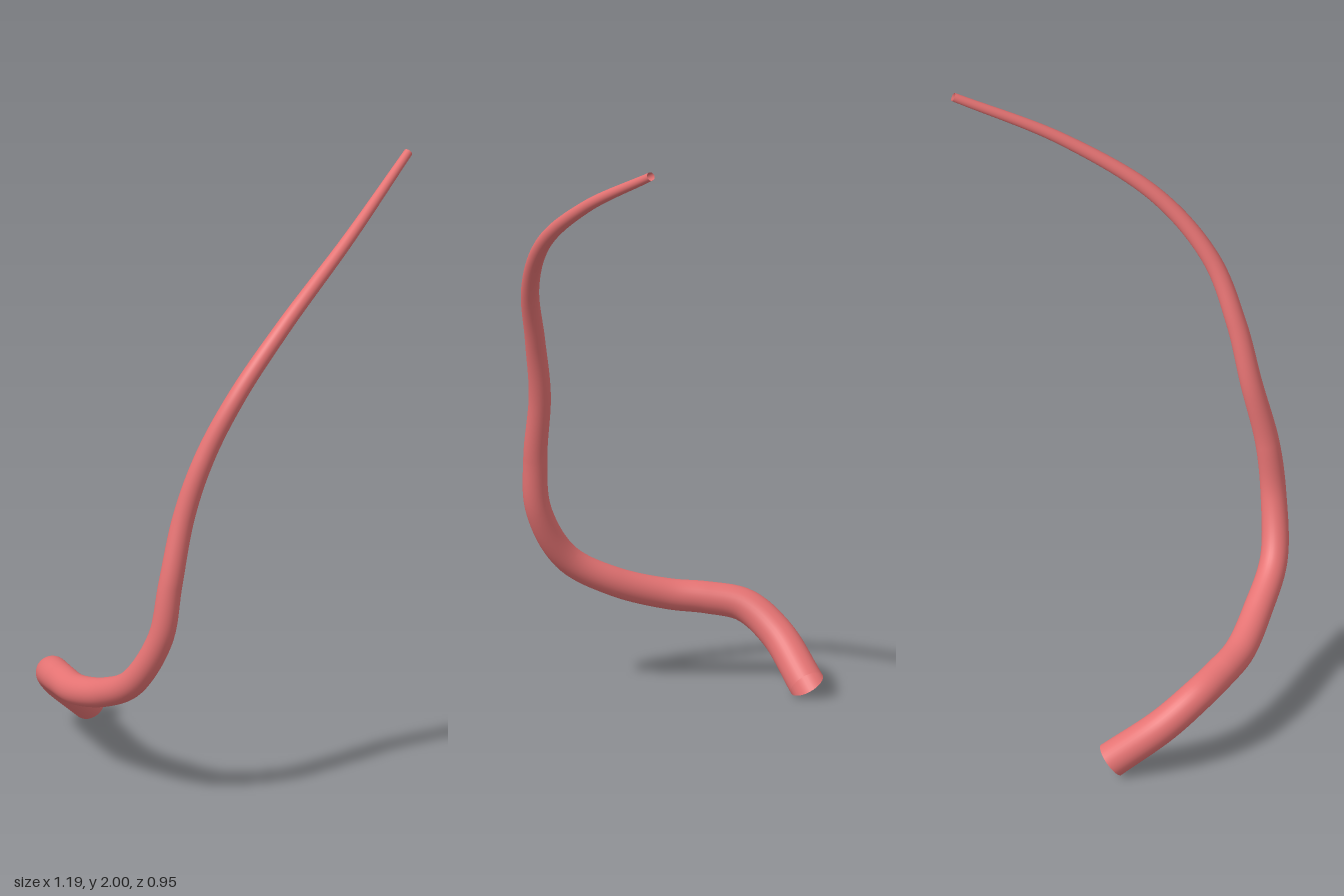
import * as THREE from 'three';

// Centre line of the tendril, from the thick base to the thin tip
const PATH = [
  [-0.384, 0.047, -0.428], [-0.5, 0.175, -0.31], [-0.543, 0.25, -0.2],
  [-0.535, 0.272, -0.08], [-0.51, 0.285, 0.04], [-0.445, 0.335, 0.2],
  [-0.382, 0.425, 0.345], [-0.31, 0.6, 0.423], [-0.28, 0.78, 0.428],
  [-0.232, 1.0, 0.405], [-0.165, 1.2, 0.408], [-0.06, 1.4, 0.405],
  [0.105, 1.6, 0.335], [0.34, 1.8, 0.155], [0.585, 1.985, -0.1],
];
const BASE_RADIUS = 0.058;
const TIP_RADIUS = 0.014;

// Tube whose rings shrink evenly along the curve
function taperedTube(curve, rings, sides, r0, r1) {
  const geometry = new THREE.TubeGeometry(curve, rings, 1, sides, false);
  const position = geometry.attributes.position;
  const normal = geometry.attributes.normal;
  const v = new THREE.Vector3();
  const n = new THREE.Vector3();
  for (let i = 0; i <= rings; i++) {
    const centre = curve.getPointAt(i / rings);
    const radius = THREE.MathUtils.lerp(r0, r1, i / rings);
    for (let j = 0; j <= sides; j++) {
      const k = i * (sides + 1) + j;
      n.fromBufferAttribute(normal, k);
      v.copy(centre).addScaledVector(n, radius);
      position.setXYZ(k, v.x, v.y, v.z);
    }
  }
  return geometry;
}

export function createModel() {
  const group = new THREE.Group();
  group.name = 'tendril';

  const curve = new THREE.CatmullRomCurve3(PATH.map((p) => new THREE.Vector3(...p)), false, 'centripetal');
  curve.arcLengthDivisions = 600;

  // Hollow stem, open at both ends
  const stem = new THREE.Mesh(
    taperedTube(curve, 160, 32, BASE_RADIUS, TIP_RADIUS),
    new THREE.MeshStandardMaterial({ color: 0xe57373, side: THREE.DoubleSide })
  );
  stem.name = 'stem';
  group.add(stem);
  return group;
}
